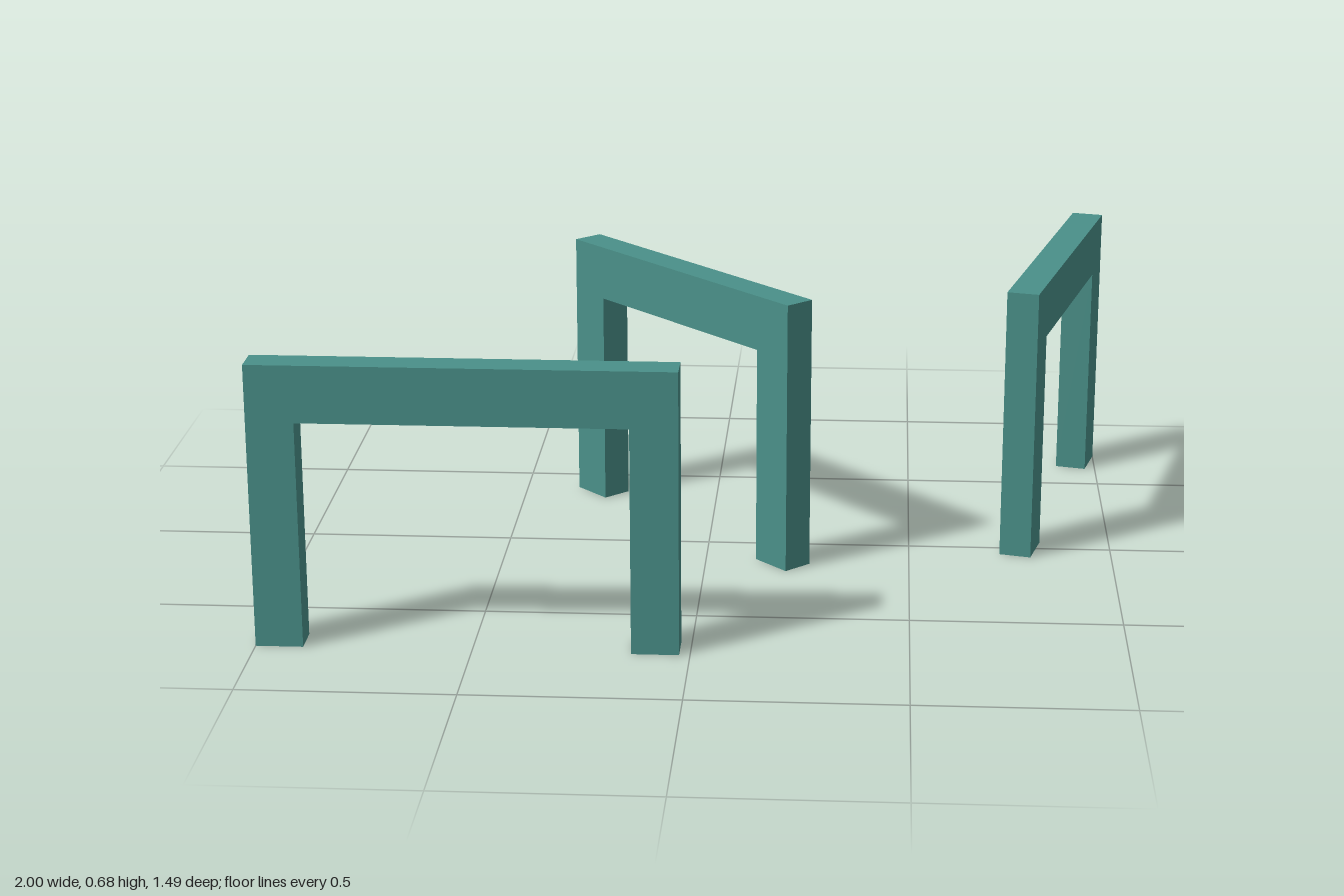
import * as THREE from 'three';

const HEIGHT = 0.675, OPENING = 0.54, LEG = 0.11, DEPTH = 0.078;

// Square-cut arch outline, extruded to the bar depth and centred on its length
function archGeometry(length) {
  const h = length / 2, i = h - LEG;
  const outline = [[-h, 0], [-i, 0], [-i, OPENING], [i, OPENING], [i, 0], [h, 0], [h, HEIGHT], [-h, HEIGHT]];
  const shape = new THREE.Shape(outline.map(([x, y]) => new THREE.Vector2(x, y)));
  const geometry = new THREE.ExtrudeGeometry(shape, { depth: DEPTH, bevelEnabled: false });
  return geometry.translate(0, 0, -DEPTH / 2);
}

export function createModel() {
  const group = new THREE.Group();
  const teal = new THREE.MeshStandardMaterial({ color: 0x4a9089 });
  teal.name = 'teal paint';

  // Three free-standing arches, each turned its own way
  const arches = [
    { name: 'frontArch', length: 0.975, x: -0.5125, z: 0.705, turn: 0 },
    { name: 'middleArch', length: 0.816, x: -0.055, z: -0.128, turn: -0.807 },
    { name: 'leftArch', length: 0.816, x: 0.8625, z: -0.341, turn: 1.323 },
  ];
  for (const { name, length, x, z, turn } of arches) {
    const arch = new THREE.Mesh(archGeometry(length), teal);
    arch.name = name;
    arch.position.set(x, 0, z);
    arch.rotation.y = turn;
    group.add(arch);
  }
  return group;
}
